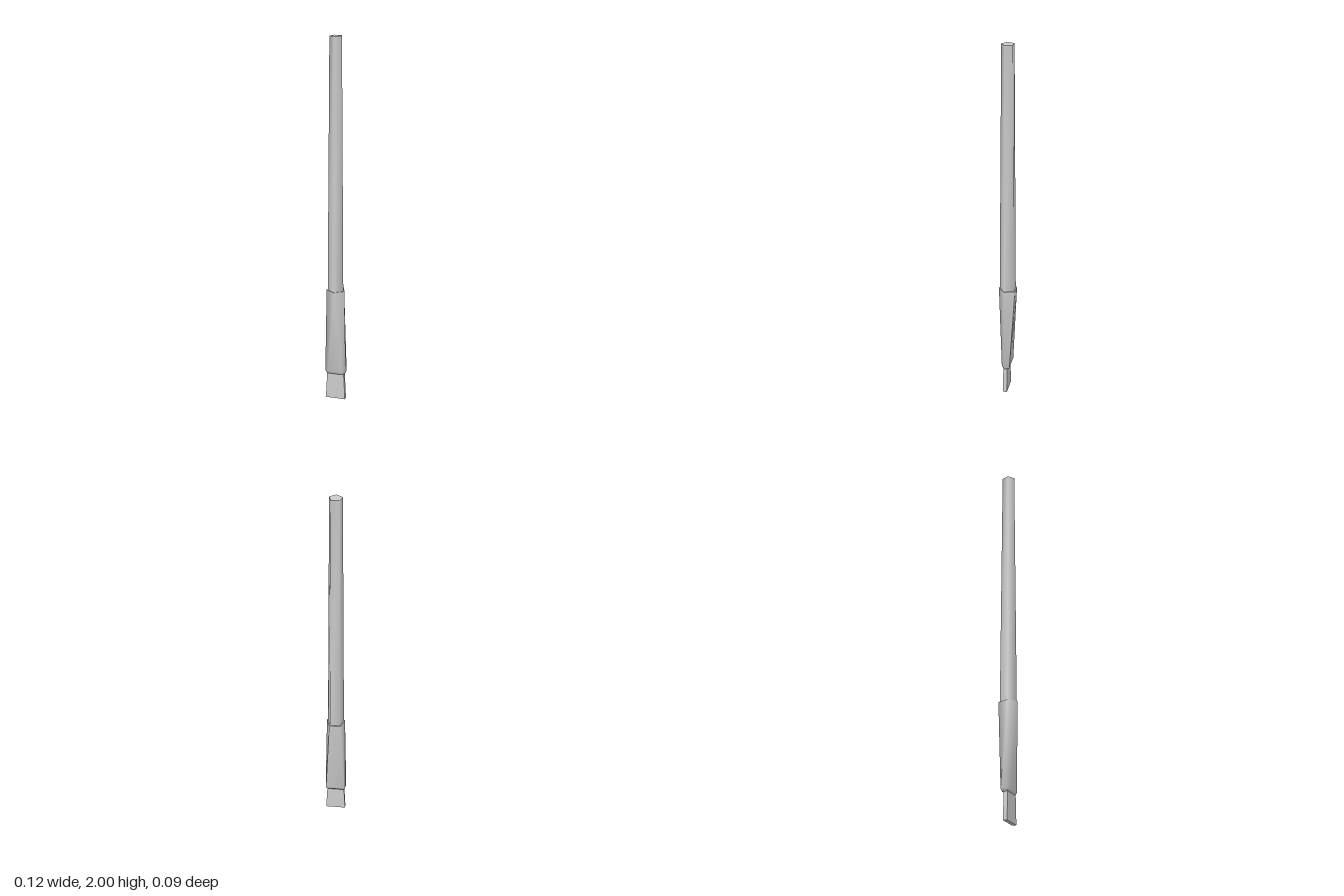
import * as THREE from 'three';
import { toCreasedNormals } from 'three/addons/utils/BufferGeometryUtils.js';

// Closed loft through rings of [x, z] points, listed bottom to top as { y, pts }
function loft(rings, crease) {
  const pos = [];
  const v = rings.map(({ y, pts }) => pts.map(([x, z]) => new THREE.Vector3(x, y, z)));
  const tri = (a, b, c) => {
    if (a.equals(b) || b.equals(c) || a.equals(c)) return;
    for (const p of [a, b, c]) pos.push(p.x, p.y, p.z);
  };
  const n = v[0].length;
  for (let r = 0; r < v.length - 1; r++) {
    for (let i = 0; i < n; i++) {
      const j = (i + 1) % n;
      tri(v[r][i], v[r][j], v[r + 1][j]);
      tri(v[r][i], v[r + 1][j], v[r + 1][i]);
    }
  }
  // end caps
  const bottom = v[0], top = v[v.length - 1];
  for (let i = 1; i < n - 1; i++) {
    tri(bottom[0], bottom[i + 1], bottom[i]);
    tri(top[0], top[i], top[i + 1]);
  }
  const geo = new THREE.BufferGeometry();
  geo.setAttribute('position', new THREE.Float32BufferAttribute(pos, 3));
  geo.computeVertexNormals();
  return toCreasedNormals(geo, THREE.MathUtils.degToRad(crease));
}

// Five-sided section with one corner facing the front
function pentagon(r, cz) {
  return Array.from({ length: 5 }, (_, k) => {
    const a = (k / 5) * Math.PI * 2;
    return [Math.sin(a) * r, cz + Math.cos(a) * r];
  });
}

const rect = (w, d) => [[-w, d], [w, d], [w, -d], [-w, -d]];

export function createModel() {
  const group = new THREE.Group();
  const mat = new THREE.MeshStandardMaterial({ color: 0xcccccc });
  const add = (name, geo) => {
    const mesh = new THREE.Mesh(geo, mat);
    mesh.name = name;
    group.add(mesh);
  };

  // Long tapering handle
  add('handle', loft([
    { y: 0.6, pts: pentagon(0.0465, -0.006) },
    { y: 2, pts: pentagon(0.035, -0.006) },
  ], 80));

  // Ferrule: pentagon at the top, flattening to a wide six-sided mouth
  const mouth = [[-0.04, 0.021], [0.04, 0.021], [0.059, 0.008],
    [0.054, -0.025], [-0.054, -0.025], [-0.059, 0.008]];
  const collar = pentagon(0.0525, -0.0075);
  add('ferrule', loft([
    { y: 0.148, pts: mouth.map(([x, z]) => [x * 0.86, z * 0.8]) },
    { y: 0.162, pts: mouth },
    { y: 0.635, pts: [collar[0], ...collar] },
  ], 80));

  // Flat bristle tip, flaring towards the end
  add('bristles', loft([
    { y: 0, pts: rect(0.055, 0.011) },
    { y: 0.16, pts: rect(0.047, 0.011) },
  ], 30));

  return group;
}
